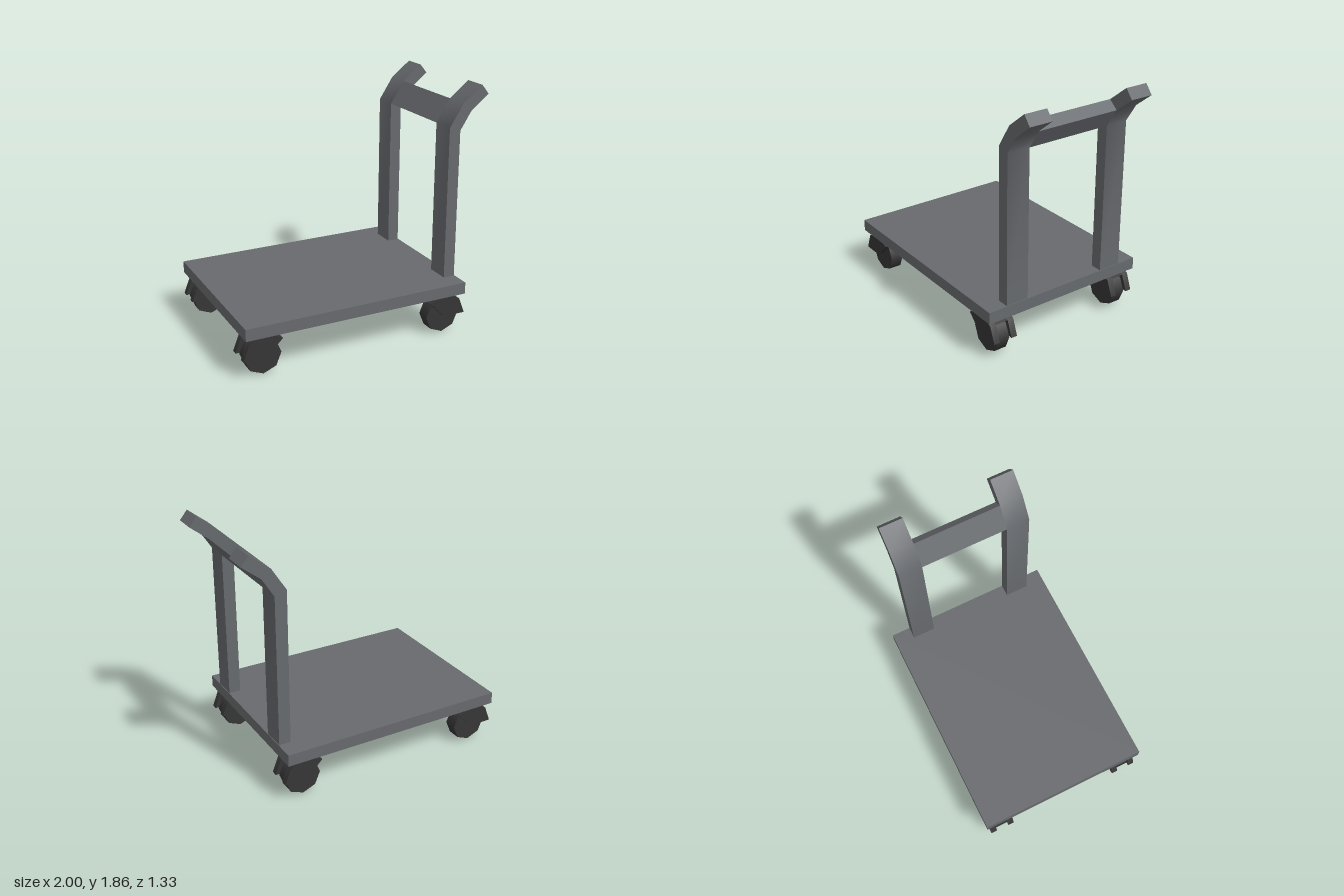
import * as THREE from 'three';
import { toCreasedNormals } from 'three/addons/utils/BufferGeometryUtils.js';

const frameGrey = new THREE.MeshStandardMaterial({ color: 0x676a6e });
frameGrey.name = 'frame grey';
const casterBlack = new THREE.MeshStandardMaterial({ color: 0x363636 });
casterBlack.name = 'caster black';

function addMesh(parent, name, geometry, material) {
  const mesh = new THREE.Mesh(geometry, material);
  mesh.name = name;
  parent.add(mesh);
  return mesh;
}

// Side profile in x and y, extruded from z0 to z1, smooth over gentle bends
function slab(points, z0, z1) {
  const shape = new THREE.Shape(points.map(([x, y]) => new THREE.Vector2(x, y)));
  const geometry = new THREE.ExtrudeGeometry(shape, { depth: z1 - z0, bevelEnabled: false });
  geometry.translate(0, 0, z0);
  return toCreasedNormals(geometry, 0.8);
}

// Caster with its fork tip pointing to +x; direction -1 turns it round
function makeCaster(direction) {
  const caster = new THREE.Group();
  caster.name = 'caster';

  const wheel = new THREE.CylinderGeometry(0.138, 0.138, 0.1, 8);
  wheel.rotateX(Math.PI / 2);
  addMesh(caster, 'wheel', wheel, casterBlack).position.y = 0.14;

  const cheek = [[0.165, 0.148], [0.118, 0.27], [0.035, 0.315], [-0.05, 0.315], [-0.132, 0.27], [-0.01, 0.148]];
  for (const z of [-0.098, 0.05]) addMesh(caster, 'forkCheek', slab(cheek, z, z + 0.048), casterBlack);

  const crown = [[0.118, 0.27], [0.035, 0.315], [-0.05, 0.315], [-0.132, 0.27]];
  addMesh(caster, 'forkCrown', slab(crown, -0.05, 0.05), casterBlack);

  if (direction < 0) caster.rotation.y = Math.PI;
  return caster;
}

export function createModel() {
  const model = new THREE.Group();
  model.name = 'platformTrolley';

  addMesh(model, 'deck', new THREE.BoxGeometry(1.76, 0.09, 1.33), frameGrey).position.set(-0.105, 0.36, 0);

  // Bent uprights ending in grips
  const upright = [[0.68, 0.405], [0.77, 0.405], [0.77, 1.54], [0.86, 1.68], [1.0, 1.79],
    [0.943, 1.86], [0.79, 1.74], [0.68, 1.57]];
  addMesh(model, 'leftUpright', slab(upright, -0.515, -0.335), frameGrey);
  addMesh(model, 'rightUpright', slab(upright, 0.335, 0.515), frameGrey);

  // Bar joining the uprights along the first bend
  const bar = [[0.68, 1.57], [0.77, 1.54], [0.86, 1.68], [0.79, 1.74]];
  addMesh(model, 'crossbar', slab(bar, -0.335, 0.335), frameGrey);

  for (const [x, direction] of [[-0.833, -1], [0.627, 1]]) {
    for (const z of [-0.54, 0.54]) {
      const caster = makeCaster(direction);
      caster.position.set(x, 0, z);
      model.add(caster);
    }
  }
  return model;
}
